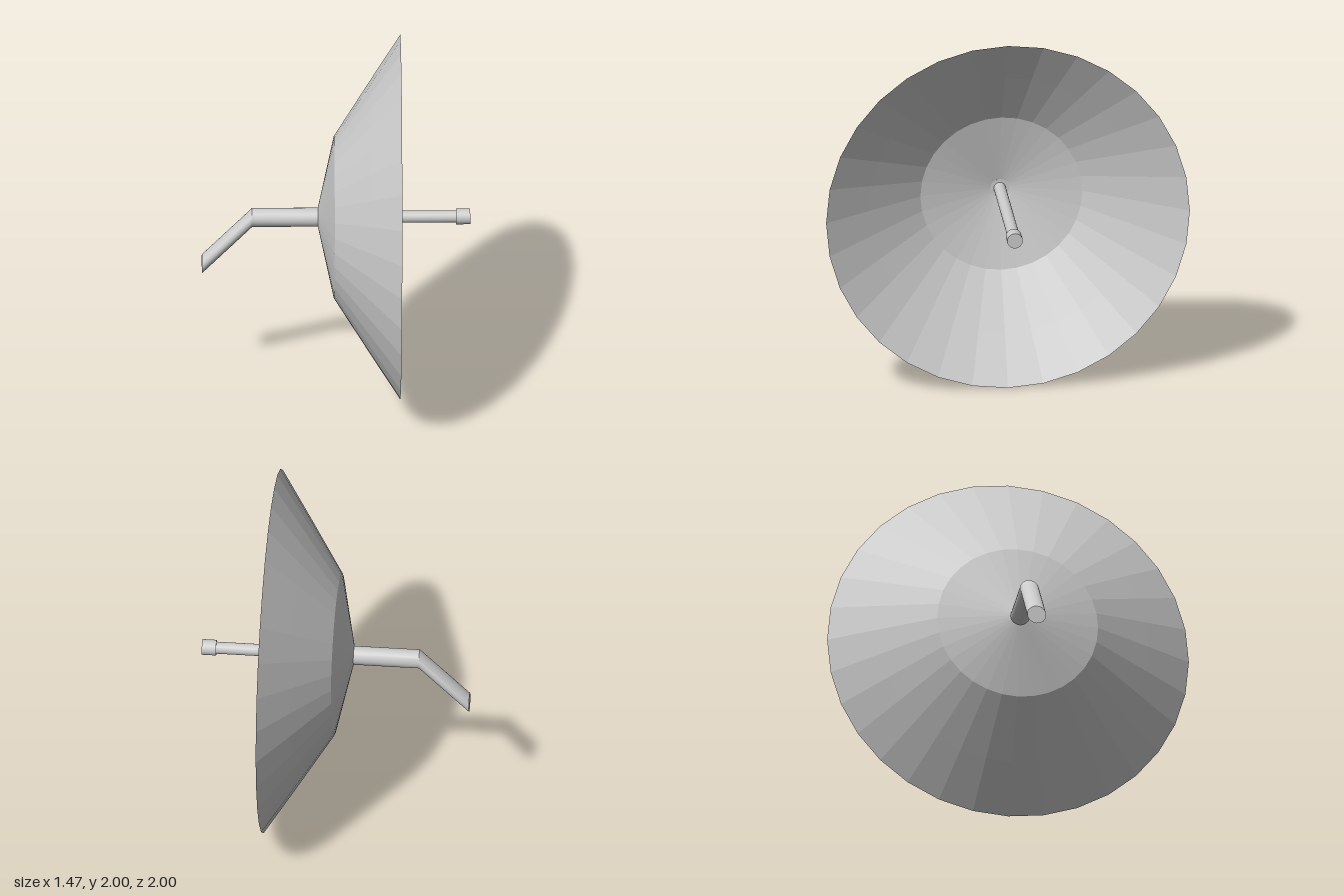
import * as THREE from 'three';
import { toCreasedNormals } from 'three/addons/utils/BufferGeometryUtils.js';

const AXIS_Y = 1;

export function createModel() {
  const group = new THREE.Group();
  const smooth = new THREE.MeshStandardMaterial({ color: 0xcccccc });
  const faceted = new THREE.MeshStandardMaterial({ color: 0xcccccc, flatShading: true, side: THREE.DoubleSide });

  const add = (name, geometry, material) => {
    const mesh = new THREE.Mesh(geometry, material);
    mesh.name = name;
    mesh.position.y = AXIS_Y;
    group.add(mesh);
    return mesh;
  };

  // Cylinder lying along x between two stations
  const rod = (name, radius, x0, x1) => {
    const geometry = new THREE.CylinderGeometry(radius, radius, x1 - x0, 24);
    geometry.rotateZ(-Math.PI / 2).translate((x0 + x1) / 2, 0, 0);
    return add(name, geometry, smooth);
  };

  // Thin dish: shallow centre cone, then a steeper 32-sided wall, opening toward +x
  const profile = [[0, -0.112], [0.445, -0.013], [0.75, 0.185], [1, 0.35]]
    .map(([r, x]) => new THREE.Vector2(r, x));
  const dish = add('dish', new THREE.LatheGeometry(profile, 32).rotateZ(-Math.PI / 2), faceted);
  dish.rotation.z = -0.005;

  // Feed rod and its end cap
  rod('feedRod', 0.033, -0.105, 0.67);
  rod('feedCap', 0.043, 0.655, 0.733);

  // Bent support arm: a cylinder whose upright sections are slid onto three stations
  const stations = [[-0.735, -0.283], [-0.46, 0], [-0.1, 0]];
  const arm = new THREE.CylinderGeometry(0.052, 0.052, 2, 24, 2).rotateZ(-Math.PI / 2);
  const p = arm.attributes.position;
  for (let i = 0; i < p.count; i++) {
    const [x, drop] = stations[Math.round(p.getX(i)) + 1];
    p.setXYZ(i, x, p.getY(i) + drop, p.getZ(i));
  }
  add('supportArm', toCreasedNormals(arm, 0.5), smooth);

  return group;
}
